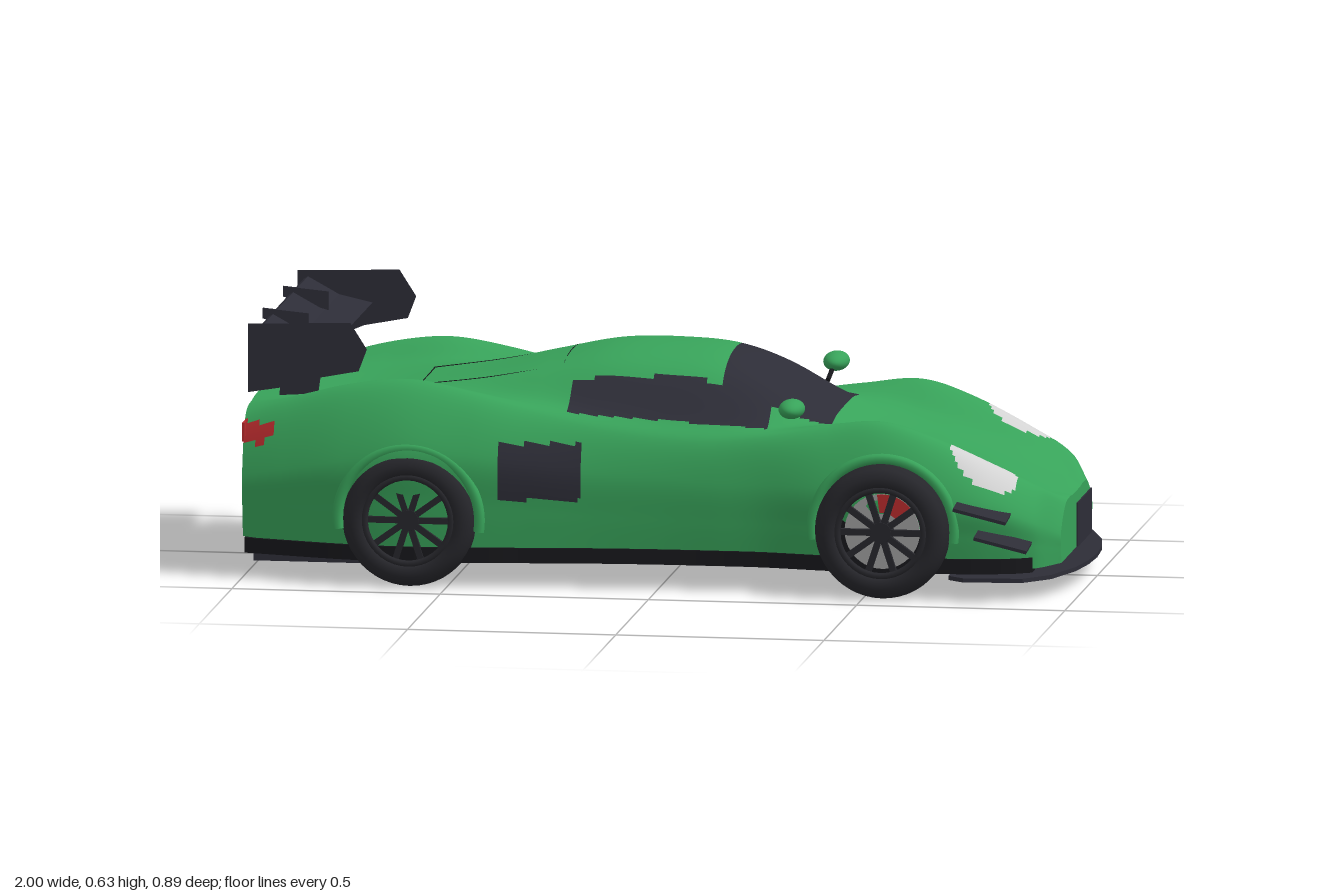
import * as THREE from 'three';

const mat = (name, color) => Object.assign(new THREE.MeshStandardMaterial({ color }), { name });

// Body stations: x, half width, height of widest point, fender crest z y, cabin base z y, centreline y
const STATIONS = [
  [-1.0, .345, .25, .29, .385, .18, .405, .41],
  [-.9, .37, .27, .30, .42, .20, .415, .415],
  [-.75, .405, .30, .31, .465, .21, .43, .42],
  [-.6, .42, .33, .315, .482, .215, .445, .44],
  [-.45, .41, .32, .33, .455, .225, .44, .468],
  [-.3, .39, .30, .33, .415, .25, .435, .505],
  [-.15, .372, .28, .335, .38, .275, .42, .537],
  [0, .362, .27, .335, .36, .288, .40, .542],
  [.13, .36, .26, .335, .355, .285, .395, .53],
  [.25, .362, .26, .33, .37, .275, .39, .485],
  [.4, .385, .26, .32, .395, .22, .385, .395],
  [.53, .395, .25, .315, .41, .2, .36, .34],
  [.65, .39, .24, .31, .375, .18, .325, .305],
  [.8, .375, .22, .29, .305, .17, .275, .26],
  [.9, .33, .18, .255, .25, .15, .23, .225],
  [.95, .24, .14, .17, .20, .1, .208, .205],
];
const COLS = 120, ROWS = 260, X0 = -1, X1 = .95;

// Smooth interpolation of one station column at x
function param(x, k) {
  const S = STATIONS, n = S.length;
  let i = 0;
  while (i < n - 2 && x > S[i + 1][0]) i++;
  const slope = j => {
    const a = S[Math.max(j - 1, 0)], b = S[Math.min(j + 1, n - 1)];
    return (b[k] - a[k]) / (b[0] - a[0]);
  };
  const h = S[i + 1][0] - S[i][0], t = (x - S[i][0]) / h, u = 1 - t;
  return u * u * (1 + 2 * t) * S[i][k] + t * u * u * h * slope(i)
    + t * t * (3 - 2 * t) * S[i + 1][k] - t * t * u * h * slope(i + 1);
}

// Body cross-section, from the left sill over the roof to the right sill
function section(x) {
  const [w, yw, zs, ys, zv, yv, yc] = [1, 2, 3, 4, 5, 6, 7].map(k => param(x, k));
  const yb = .07 + Math.max(0, -.5 - x) * .06;
  const half = [[w * .96, yb], [w * .99, (yb + yw) / 2], [w, yw], [zs, ys], [zv, yv],
    [zv * .6, yv + .78 * (yc - yv)]];
  const pts = [...half, [0, yc], ...half.slice().reverse().map(([z, y]) => [-z, y])];
  const curve = new THREE.CatmullRomCurve3(pts.map(([z, y]) => new THREE.Vector3(x, y, z)));
  return Array.from({ length: COLS + 1 }, (_, j) => curve.getPoint(j / COLS));
}

// Height of the upper body above (x, z)
function topAt(x, z) {
  const s = section(x);
  let j = COLS / 2;
  while (s[j].z < Math.abs(z)) j--;
  return s[j].y;
}

// Which paint a spot of the bodywork carries: 0 paint, 1 glass, 2 headlight, 3 tail light
function paintAt(x, y, z) {
  const a = Math.abs(z);
  if (x > .13 && x < .395 && a < .218 && y > .385) return 1;
  if (x > -.225 && x < .25 && a > .205 && a < .3 && y > .41 - .055 * (x + .22) && y < .512) return 1;
  if (x > -.375 && x < -.18 && y > .215 && y < .348 && a > .3) return 1;
  if (((x - .775) / .08) ** 2 + ((a - .295) / .06) ** 2 < 1 && y > .2) return 2;
  if (x < -.93 + (y - .35) && y > .325 && y < .372 && a > .3) return 3;
  return 0;
}

export function createModel() {
  const green = mat('greenPaint', 0x38a35a), dark = mat('darkPanel', 0x2d2d37);
  const black = mat('blackTrim', 0x17171b), tyreM = mat('tyreRubber', 0x26262b);
  const white = mat('headlightWhite', 0xd2d2d2), red = mat('lampRed', 0xb52a2c);
  const steel = mat('brakeSteel', 0x9a9a9a);
  const sheet = mat('wingSheet', 0x2d2d37);
  sheet.side = THREE.DoubleSide;
  const car = new THREE.Group();
  car.name = 'raceCar';

  const add = (name, geo, m, x = 0, y = 0, z = 0, parent = car) => {
    const mesh = new THREE.Mesh(geo, m);
    mesh.name = name;
    mesh.position.set(x, y, z);
    parent.add(mesh);
    return mesh;
  };
  const box = (name, m, w, h, d, x, y, z) => add(name, new THREE.BoxGeometry(w, h, d), m, x, y, z);
  const shapeOf = pts => new THREE.Shape(pts.map(p => new THREE.Vector2(...p)));
  const extrude = (pts, depth) => new THREE.ExtrudeGeometry(shapeOf(pts), { depth, bevelEnabled: false });
  // Plate drawn in plan (x, z), hanging down from its top height
  const plan = (name, pts, top, depth, m) => add(name, extrude(pts, depth).rotateX(Math.PI / 2), m, 0, top);

  // Bodywork loft, with faces sorted by paint
  const verts = [], faces = [[], [], [], []];
  for (let i = 0; i <= ROWS; i++) verts.push(...section(X0 + (X1 - X0) * i / ROWS));
  for (let i = 0; i < ROWS; i++) for (let j = 0; j < COLS; j++) {
    const a = i * (COLS + 1) + j, b = a + COLS + 1;
    const c = verts[a].clone().add(verts[b + 1]).multiplyScalar(.5);
    faces[paintAt(c.x, c.y, c.z)].push(a, b, b + 1, a, b + 1, a + 1);
  }
  const bodyGeo = new THREE.BufferGeometry().setFromPoints(verts);
  bodyGeo.setIndex(faces.flat());
  let start = 0;
  faces.forEach((f, k) => { bodyGeo.addGroup(start, f.length, k); start += f.length; });
  bodyGeo.computeVertexNormals();
  add('body', bodyGeo, [green, dark, white, red]);

  // Nose and tail faces with their plates and lamps
  for (const [name, x, s] of [['nosePanel', X1, 1], ['tailPanel', X0, -1]]) {
    const cap = new THREE.ShapeGeometry(shapeOf(section(x).map(p => [p.z, p.y])));
    add(name, cap.rotateY(s * Math.PI / 2), green, x);
  }
  box('nosePlate', dark, .006, .105, .215, .951, .123, -.1075);
  box('tailPlate', dark, .006, .16, .19, -.999, .17, -.095);
  for (const s of [1, -1]) box('tailLamp', red, .006, .045, .125, -.999, .35, s * .27);

  // Flat floor and sills
  const edge = [];
  for (let x = -.995; x <= .93; x += .035) edge.push([x, param(x, 1) * .985]);
  plan('floor', [...edge, ...edge.slice().reverse().map(([x, z]) => [x, -z])], .098, .036, black);

  // Front splitter
  const lip = [[.70, .37], [.74, .40], [.88, .385], [.94, .32], [.98, .2], [.995, .1]];
  plan('splitter', [...lip, [1, 0], ...lip.slice().reverse().map(([x, z]) => [x, -z])], .056, .01, dark);

  // Engine cover seam
  const corners = [[-.61, .12], [-.26, .145], [-.26, -.145], [-.61, -.12]];
  corners.forEach(([xa, za], i) => {
    const [xb, zb] = corners[(i + 1) % 4];
    const path = Array.from({ length: 13 }, (_, k) => {
      const x = xa + (xb - xa) * k / 12, z = za + (zb - za) * k / 12;
      return new THREE.Vector3(x, topAt(x, z), z);
    });
    add('engineCoverSeam', new THREE.TubeGeometry(new THREE.CatmullRomCurve3(path), 24, .0018, 4), black);
  });

  // Diffuser fins
  for (const z of [-.235, -.08, .075, .23])
    add('diffuserFin', extrude([[-.99, .1], [-.99, .025], [-.9, .027], [-.71, .025], [-.78, .07], [-.8, .1]].filter(p => p[0] !== -.9), .005), dark, 0, 0, z - .0025);

  // Rear wing
  add('wingBlade', extrude([[-.81, .537], [-.80, .547], [-.88, .565], [-.955, .606], [-.965, .6], [-.89, .553]], .756), dark, 0, 0, -.378);
  add('wingLowerBlade', extrude([[-.82, .525], [-.83, .538], [-.95, .528], [-.96, .515], [-.9, .51]], .724), dark, 0, 0, -.362);
  for (const s of [1, -1]) {
    const plate = new THREE.ShapeGeometry(shapeOf([[-.98, .62], [-.735, .628], [-.695, .565], [-.715, .512], [-.82, .492], [-.86, .475], [-.98, .455]]));
    add('wingEndPlate', plate, sheet, 0, 0, s * .378);
    add('wingFence', extrude([[-.98, .62], [-.87, .61], [-.87, .565], [-.98, .595]], .006), dark, 0, 0, s * .155 - .003);
    add('wingPylon', extrude([[-.94, .40], [-.85, .40], [-.83, .54], [-.93, .53]], .012), dark, 0, 0, s * .155 - .006);
  }

  // Parts repeated on both sides
  for (const s of [1, -1]) {
    const shell = add('mirror', new THREE.SphereGeometry(1, 24, 16), green, .32, .443, s * .343);
    shell.scale.set(.031, .023, .053);
    const stalk = add('mirrorStalk', new THREE.CylinderGeometry(.006, .006, .09, 8), black, .315, .423, s * .285);
    stalk.rotation.x = s * 1.35;
    for (const [x, y] of [[.785, .216], [.835, .148]]) {
      const fin = box('canard', dark, .13, .008, .085, x, y, s * .4);
      fin.rotation.z = -.24;
      fin.rotation.x = s * .1;
    }

    for (const x of [-.59, .545]) {
      // Wheel arch lip
      const zArch = param(x, 1) - .012;
      const lipMesh = add('archLip', new THREE.TorusGeometry(.17, .013, 8, 40, Math.PI * 1.1), green, x, .165, s * zArch);
      lipMesh.rotation.z = -Math.PI * .05;

      // Wheel, built facing +z and turned round for the right side
      const wheel = new THREE.Group();
      wheel.name = 'wheel';
      wheel.position.set(x, .163, s * .362);
      if (s < 0) wheel.rotation.y = Math.PI;
      car.add(wheel);
      const profile = [[.02, -.072], [.13, -.072], [.152, -.06], [.161, -.035], [.161, .035], [.153, .06], [.135, .073], [.115, .07], [.108, .06], [.108, .02]];
      const tyre = new THREE.LatheGeometry(profile.map(p => new THREE.Vector2(...p)), 48).rotateX(Math.PI / 2);
      add('tyre', tyre, tyreM, 0, 0, 0, wheel);
      add('rimWell', new THREE.CylinderGeometry(.109, .109, .01, 40).rotateX(Math.PI / 2), black, 0, 0, .022, wheel);
      add('brakeDisc', new THREE.CylinderGeometry(.09, .09, .01, 40).rotateX(Math.PI / 2), steel, 0, 0, .03, wheel);
      const caliper = new THREE.RingGeometry(.045, .09, 16, 1, s > 0 ? .6 : Math.PI - 1.7, 1.1);
      add('brakeCaliper', caliper, red, 0, 0, .038, wheel);
      add('hub', new THREE.CylinderGeometry(.025, .03, .025, 20).rotateX(Math.PI / 2), tyreM, 0, 0, .045, wheel);
      add('rim', new THREE.TorusGeometry(.104, .008, 8, 40), tyreM, 0, 0, .058, wheel);
      for (let k = 0; k < 10; k++) {
        const spoke = add('spoke', new THREE.BoxGeometry(.09, .015, .012).translate(.06, 0, 0), tyreM, 0, 0, .05, wheel);
        spoke.rotation.z = k * Math.PI / 5;
      }
    }
  }
  return car;
}
